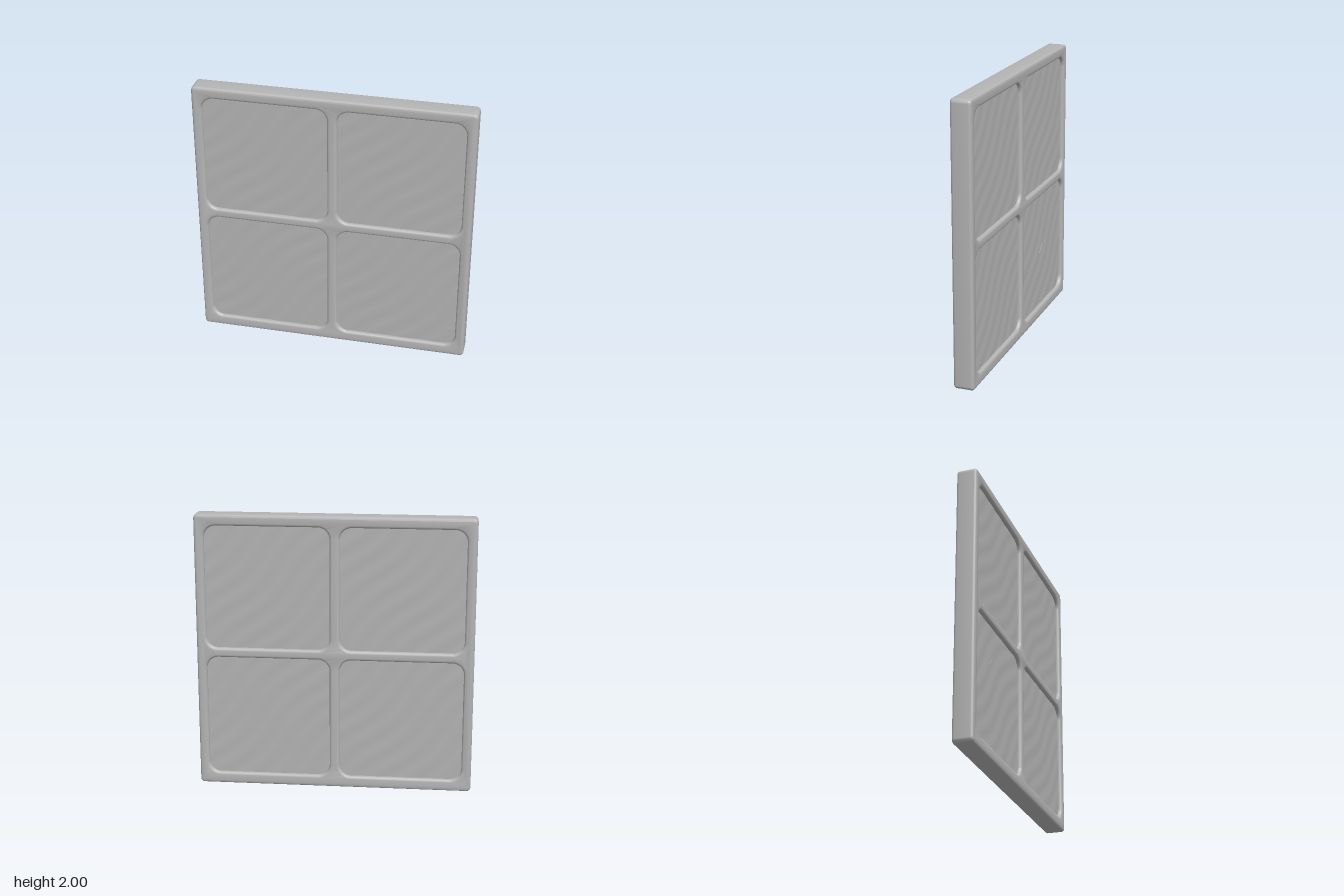
import * as THREE from 'three';
import { toCreasedNormals, mergeVertices } from 'three/addons/utils/BufferGeometryUtils.js';

const HALF_W = 0.99, DEPTH = 0.146, BEVEL = 0.02, PANE_Z = 0.046;

// Rounded rectangle drawn on a Shape or Path
function roundRect(p, x0, y0, x1, y1, r) {
  p.moveTo(x0 + r, y0);
  p.lineTo(x1 - r, y0);
  p.absarc(x1 - r, y0 + r, r, -Math.PI / 2, 0);
  p.lineTo(x1, y1 - r);
  p.absarc(x1 - r, y1 - r, r, 0, Math.PI / 2);
  p.lineTo(x0 + r, y1);
  p.absarc(x0 + r, y1 - r, r, Math.PI / 2, Math.PI);
  p.lineTo(x0, y0 + r);
  p.absarc(x0 + r, y0 + r, r, Math.PI, Math.PI * 1.5);
  return p;
}

// Frame with four rounded openings and softened edges
function frameGeometry(openings) {
  const shape = roundRect(new THREE.Shape(), -HALF_W, 0, HALF_W, 2, 0.03);
  for (const [x0, y0, x1, y1] of openings) {
    shape.holes.push(roundRect(new THREE.Path(), x0, y0, x1, y1, 0.085));
  }
  const geo = new THREE.ExtrudeGeometry(shape, {
    depth: DEPTH - 2 * BEVEL, curveSegments: 8,
    bevelEnabled: true, bevelThickness: BEVEL, bevelSize: BEVEL, bevelOffset: -BEVEL, bevelSegments: 4,
  });
  geo.translate(0, 0, -(DEPTH - 2 * BEVEL) / 2);
  return toCreasedNormals(geo, 0.6);
}

// Gently rippled sheet that fills an opening, its rim buried in the frame
function paneGeometry([x0, y0, x1, y1]) {
  const geo = new THREE.PlaneGeometry(x1 - x0 + 0.03, y1 - y0 + 0.03, 48, 48);
  geo.translate((x0 + x1) / 2, (y0 + y1) / 2, 0);
  const pos = geo.attributes.position;
  for (let i = 0; i < pos.count; i++) {
    const x = pos.getX(i), y = pos.getY(i);
    pos.setZ(i, PANE_Z + 0.0011 * Math.sin((x - y) * 32 + 1.5 * Math.sin((x + y) * 5)));
  }
  geo.deleteAttribute('uv');
  const merged = mergeVertices(geo);
  merged.computeVertexNormals();
  return merged;
}

export function createModel() {
  const model = new THREE.Group();
  model.name = 'fourPaneWindow';
  const grey = new THREE.MeshStandardMaterial({ color: 0xb4b4b4 });
  grey.name = 'plain grey';
  const add = (name, geo) => {
    const mesh = new THREE.Mesh(geo, grey);
    mesh.name = name;
    model.add(mesh);
    return mesh;
  };

  const openings = [];
  for (const [y0, y1] of [[0.085, 0.965], [1.035, 1.92]]) {
    for (const [x0, x1] of [[-0.92, -0.035], [0.035, 0.92]]) openings.push([x0, y0, x1, y1]);
  }
  add('frame', frameGeometry(openings));

  // Front and back face of each pane
  openings.forEach((o, i) => {
    const [x0, y0, x1, y1] = o;
    add(`paneFront${i + 1}`, paneGeometry(o));
    add(`paneBack${i + 1}`, paneGeometry([-x1, y0, -x0, y1])).rotation.y = Math.PI;
  });

  // Small scratch on each side of the lower right pane
  const scratch = new THREE.BoxGeometry(0.085, 0.006, 0.006);
  for (const [name, x, y, z, angle] of [
    ['scratchFront', -0.6, 0.71, PANE_Z, 0.8],
    ['scratchBack', -0.48, 0.53, -PANE_Z, -0.8],
  ]) {
    const mesh = add(name, scratch);
    mesh.position.set(x, y, z);
    mesh.rotation.z = angle;
  }
  return model;
}
